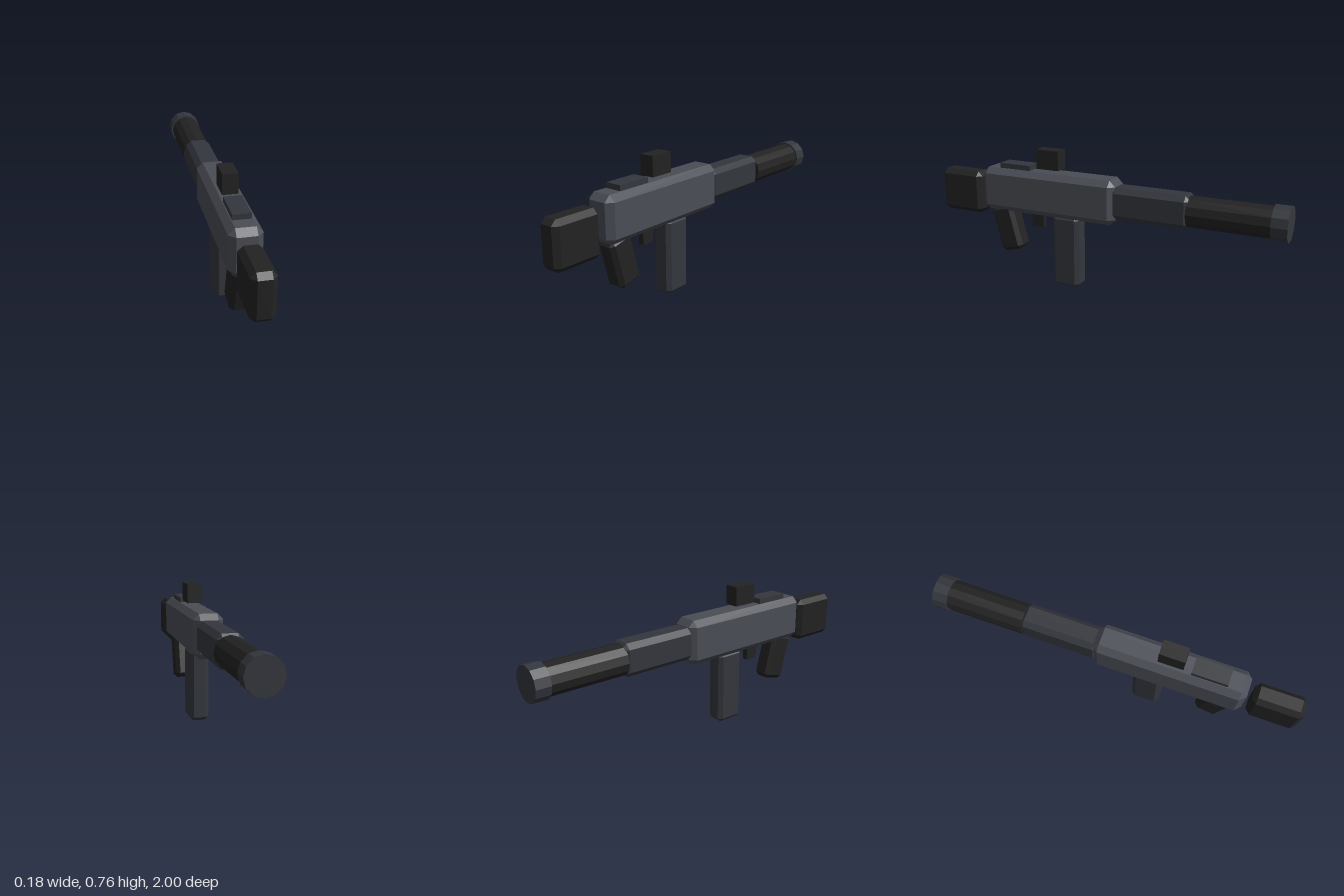
import * as THREE from 'three';
import { ConvexGeometry } from 'three/addons/geometries/ConvexGeometry.js';

const material = (color) => new THREE.MeshStandardMaterial({ color, flatShading: true });

// Box with every edge cut at 45 degrees
function chamferBox(w, h, d, c) {
  const points = [];
  for (const sx of [-1, 1]) for (const sy of [-1, 1]) for (const sz of [-1, 1]) {
    for (let axis = 0; axis < 3; axis++) {
      const inset = [c, c, c];
      inset[axis] = 0;
      points.push(new THREE.Vector3(
        sx * (w / 2 - inset[0]), sy * (h / 2 - inset[1]), sz * (d / 2 - inset[2])));
    }
  }
  return new ConvexGeometry(points);
}

export function createModel() {
  const group = new THREE.Group();
  const grey = material(0x4a4d55);
  const dark = material(0x33363c);
  const black = material(0x222223);

  function add(name, geometry, mat, y, z) {
    const mesh = new THREE.Mesh(geometry, mat);
    mesh.name = name;
    mesh.position.set(0, y, z);
    group.add(mesh);
    return mesh;
  }

  // Block given by its width and its y and z ranges; chamfer 0 leaves sharp edges
  function block(name, mat, w, [y0, y1], [z0, z1], chamfer = 0) {
    const h = y1 - y0, d = z1 - z0;
    const geometry = chamfer ? chamferBox(w, h, d, chamfer) : new THREE.BoxGeometry(w, h, d);
    return add(name, geometry, mat, (y0 + y1) / 2, (z0 + z1) / 2);
  }

  // Twelve-sided tube along z
  function tube(name, mat, radius, z0, z1) {
    const geometry = new THREE.CylinderGeometry(radius, radius, z1 - z0, 12).rotateX(Math.PI / 2);
    return add(name, geometry, mat, 0.516, (z0 + z1) / 2);
  }

  // Main housing and the parts in line with it
  block('body', grey, 0.162, [0.396, 0.637], [-0.108, 0.702], 0.032);
  block('stock', black, 0.118, [0.354, 0.596], [0.73, 1], 0.026);
  block('handguard', dark, 0.136, [0.432, 0.603], [-0.515, -0.08], 0.027);
  tube('barrel', black, 0.082, -0.93, -0.5);
  tube('muzzleCap', dark, 0.0915, -1, -0.92);

  // Grips and trigger underneath
  block('foregrip', dark, 0.108, [0, 0.41], [0.112, 0.27], 0.021);
  const rearGrip = add('rearGrip', chamferBox(0.108, 0.265, 0.14, 0.021), black, 0.288, 0.571);
  rearGrip.rotation.x = THREE.MathUtils.degToRad(15);
  block('trigger', black, 0.03, [0.314, 0.388], [0.345, 0.417]);

  // Rail and sight on top
  block('rail', dark, 0.09, [0.625, 0.665], [0.408, 0.596]);
  block('sight', black, 0.08, [0.653, 0.759], [0.232, 0.366]);

  return group;
}
